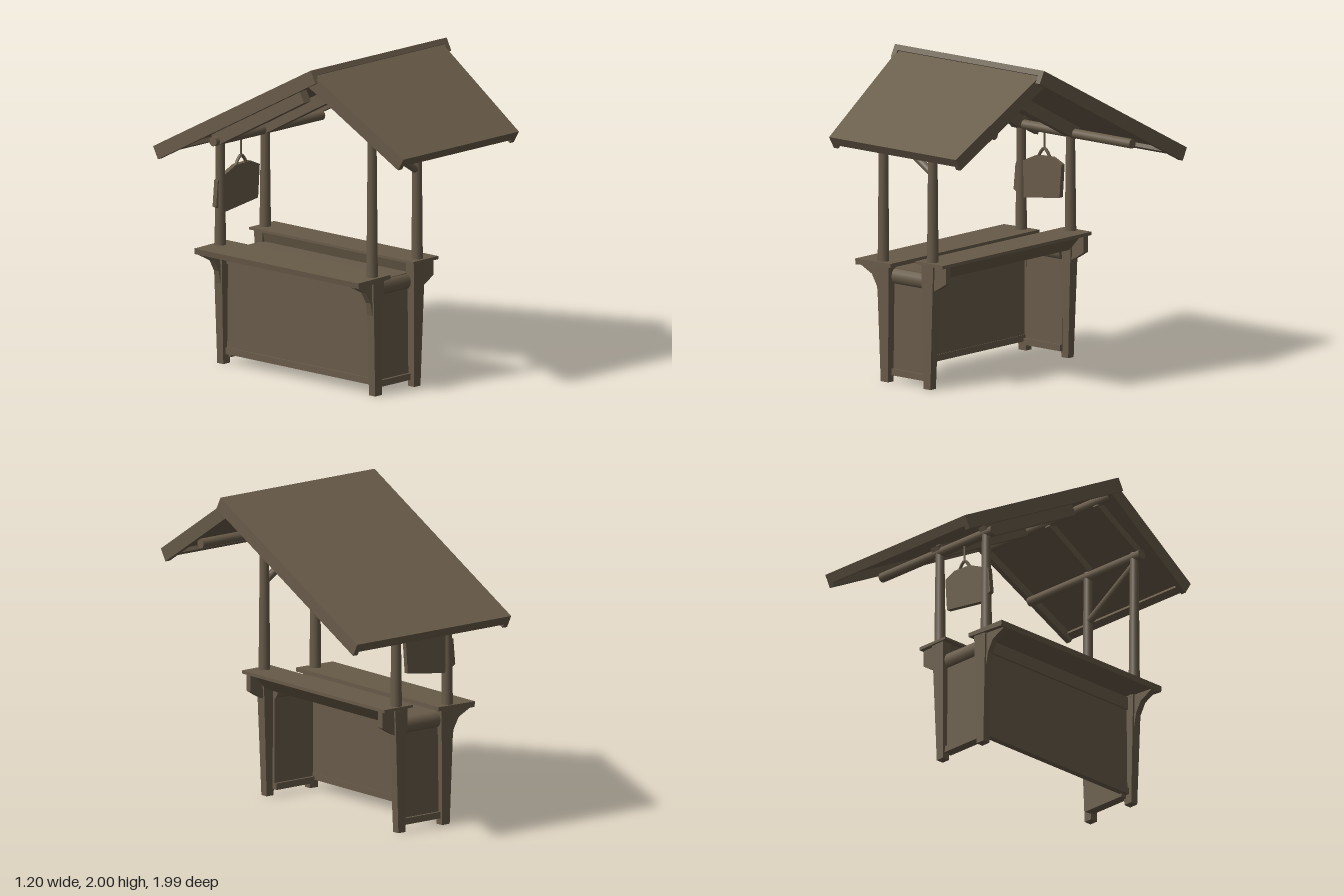
import * as THREE from 'three';

const wood = new THREE.MeshStandardMaterial({ color: 0x675a48 });
wood.name = 'weathered wood';

function add(parent, name, geometry) {
  const mesh = new THREE.Mesh(geometry, wood);
  mesh.name = name;
  parent.add(mesh);
  return mesh;
}

// Six-sided solid from a lower and an upper ring (front left-to-right, then back right-to-left)
function hexa(a, b) {
  const tris = [];
  for (let i = 0; i < 4; i++) {
    const j = (i + 1) % 4;
    tris.push(a[i], a[j], b[j], a[i], b[j], b[i]);
  }
  tris.push(b[0], b[1], b[2], b[0], b[2], b[3], a[2], a[1], a[0], a[3], a[2], a[0]);
  const g = new THREE.BufferGeometry();
  g.setAttribute('position', new THREE.Float32BufferAttribute(tris.flat(), 3));
  g.computeVertexNormals();
  return g;
}

const ring = (x0, x1, z0, z1, y) => [[x0, y, z1], [x1, y, z1], [x1, y, z0], [x0, y, z0]];

function box(parent, name, x0, x1, y0, y1, z0, z1) {
  return add(parent, name, hexa(ring(x0, x1, z0, z1, y0), ring(x0, x1, z0, z1, y1)));
}

// Sloping slab: front and back edges as [x0, x1, z, y] on the top surface
function slab(parent, name, f, b, t, drop = 0) {
  const dz = f[2] - b[2], dy = f[3] - b[3], len = Math.hypot(dz, dy);
  const ny = dz / len, nz = -dy / len;
  const level = d => [[f[0], f], [f[1], f], [b[1], b], [b[0], b]]
    .map(([x, e]) => [x, e[3] - ny * d, e[2] - nz * d]);
  return add(parent, name, hexa(level(drop + t), level(drop)));
}

// Round pole between two points
function pole(parent, name, p, q, r0, r1 = r0) {
  const a = new THREE.Vector3(...p), b = new THREE.Vector3(...q);
  const mesh = add(parent, name, new THREE.CylinderGeometry(r1, r0, a.distanceTo(b), 12));
  mesh.position.copy(a).add(b).multiplyScalar(0.5);
  mesh.quaternion.setFromUnitVectors(new THREE.Vector3(0, 1, 0), b.sub(a).normalize());
  return mesh;
}

// Outline in x and y, extruded along z
function profile(parent, name, pts, z0, z1) {
  const shape = new THREE.Shape(pts.map(p => new THREE.Vector2(...p)));
  const g = new THREE.ExtrudeGeometry(shape, { depth: z1 - z0, bevelEnabled: false });
  g.translate(0, 0, z0);
  return add(parent, name, g);
}

function roofSide(root, name, f, b, rimAtFront) {
  const g = new THREE.Group();
  g.name = name;
  root.add(g);
  slab(g, 'roofPanel', f, b, 0.035);
  const w = 0.035;
  // Gable boards and eave board hang below the panel
  slab(g, 'gableBoardRight', [f[0], f[0] + w, f[2], f[3]], [b[0], b[0] + w, b[2], b[3]], 0.055, 0.03);
  slab(g, 'gableBoardLeft', [f[1] - w, f[1], f[2], f[3]], [b[1] - w, b[1], b[2], b[3]], 0.055, 0.03);
  const k = 0.04 / (f[2] - b[2]);
  const mix = t => f.map((v, i) => v + (b[i] - v) * t);
  if (rimAtFront) slab(g, 'eaveBoard', f, mix(k), 0.03, 0.03);
  else slab(g, 'eaveBoard', mix(1 - k), b, 0.03, 0.03);
}

export function createModel() {
  const root = new THREE.Group();
  root.name = 'marketStall';

  // Roof: short front slope and long back slope
  roofSide(root, 'frontRoof', [-0.52, 0.5, 1, 1.54], [-0.58, 0.57, 0.3, 1.965], true);
  roofSide(root, 'backRoof', [-0.6, 0.6, 0.31, 1.995], [-0.6, 0.6, -0.99, 1.32], false);
  pole(root, 'ridgePole', [-0.56, 1.9, 0.32], [0.55, 1.9, 0.32], 0.03);

  // Four posts: square tapering leg with a slimmer round pole above
  for (const [side, z, top] of [['front', 0.635, 1.66], ['back', -0.618, 1.43]]) {
    const s = Math.sign(z);
    const legs = [
      ['Right', [-0.405, -0.345], [-0.43, -0.335], -0.405, 0.72],
      ['Left', [-0.06, -0.005], [-0.07, 0.025], -0.008, 0.77],
    ];
    for (const [name, foot, head, x, h] of legs) {
      add(root, side + name + 'Leg', hexa(
        ring(foot[0], foot[1], z - 0.025, z + 0.025, 0),
        ring(head[0], head[1], z - 0.034, z + 0.034, h)));
      pole(root, side + name + 'Post', [x, h - 0.02, z], [x, top, z], 0.036, 0.027);
    }
    // Cross beam under the roof
    const by = s > 0 ? 1.635 : 1.385;
    pole(root, side + 'CrossBeam', [-0.47, by, z], [0.49, by, z], 0.03);

    // End panel and rails between the legs
    box(root, side + 'EndPanel', -0.36, -0.05, 0.06, 0.64, s * 0.6 - 0.012, s * 0.6 + 0.012);
    box(root, side + 'BottomRail', -0.36, -0.05, 0.04, 0.08, s * 0.6 - 0.03, s * 0.6 + 0.03);
    const rail = pole(root, side + 'TopRail', [-0.36, 0.65, s * 0.6], [-0.05, 0.65, s * 0.6], 0.05);
    rail.scale.z = 0.8;

    // Brackets carrying the counters
    profile(root, side + 'LeftBracket',
      [[0.0, 0.77], [0.0, 0.6], [0.05, 0.625], [0.115, 0.665], [0.115, 0.77]], z - 0.02, z + 0.02);
    profile(root, side + 'RightBracket',
      [[-0.41, 0.72], [-0.57, 0.72], [-0.57, 0.695], [-0.48, 0.65], [-0.44, 0.58], [-0.425, 0.5]],
      z - 0.02, z + 0.02);
  }

  // Diagonal brace beside the front posts
  pole(root, 'frontBrace', [-0.01, 1.33, 0.635], [-0.4, 1.58, 0.635], 0.024);

  // Rafters below each slope
  for (const x of [-0.41, 0]) {
    slab(root, 'backRafter', [x - 0.03, x + 0.03, 0.07, 1.8], [x - 0.03, x + 0.03, -0.66, 1.415], 0.075, 0.0);
    slab(root, 'frontRafter', [x - 0.02, x + 0.02, 0.66, 1.7], [x - 0.02, x + 0.02, 0.32, 1.9], 0.045, 0.0);
  }

  // Long side panel with a slim frame, open on the opposite side
  box(root, 'sidePanel', -0.372, -0.35, 0.07, 0.68, -0.6, 0.61);
  box(root, 'sideBottomRail', -0.385, -0.345, 0.06, 0.1, -0.6, 0.61);
  box(root, 'sideTopRail', -0.385, -0.345, 0.62, 0.7, -0.6, 0.61);

  // Table top and the two raised counters
  box(root, 'tableTop', -0.37, -0.04, 0.665, 0.7, -0.6, 0.61);
  profile(root, 'leftCounter',
    [[-0.1, 0.785], [-0.1, 0.77], [0.12, 0.765], [0.12, 0.785]], -0.665, 0.69);
  profile(root, 'leftCounterApron',
    [[-0.07, 0.775], [-0.04, 0.67], [0.01, 0.67], [0.1, 0.77]], -0.59, 0.6);
  profile(root, 'rightCounter',
    [[-0.585, 0.735], [-0.58, 0.7], [-0.5, 0.705], [-0.3, 0.715], [-0.3, 0.74]], -0.665, 0.69);

  // Blank sign board hanging between the back posts
  const sign = new THREE.Group();
  sign.name = 'hangingSign';
  root.add(sign);
  profile(sign, 'signBoard',
    [[-0.455, 0.98], [-0.38, 0.935], [-0.085, 0.975], [-0.07, 1.18], [-0.15, 1.215],
      [-0.28, 1.21], [-0.38, 1.165], [-0.44, 1.14]], -0.635, -0.605);
  const loop = new THREE.CatmullRomCurve3(
    [[-0.27, 1.2], [-0.245, 1.24], [-0.22, 1.26], [-0.195, 1.24], [-0.17, 1.2]]
      .map(([x, y]) => new THREE.Vector3(x, y, -0.62)));
  add(sign, 'signLoop', new THREE.TubeGeometry(loop, 16, 0.01, 6));
  pole(sign, 'signHook', [-0.22, 1.25, -0.62], [-0.22, 1.37, -0.62], 0.007);

  return root;
}
